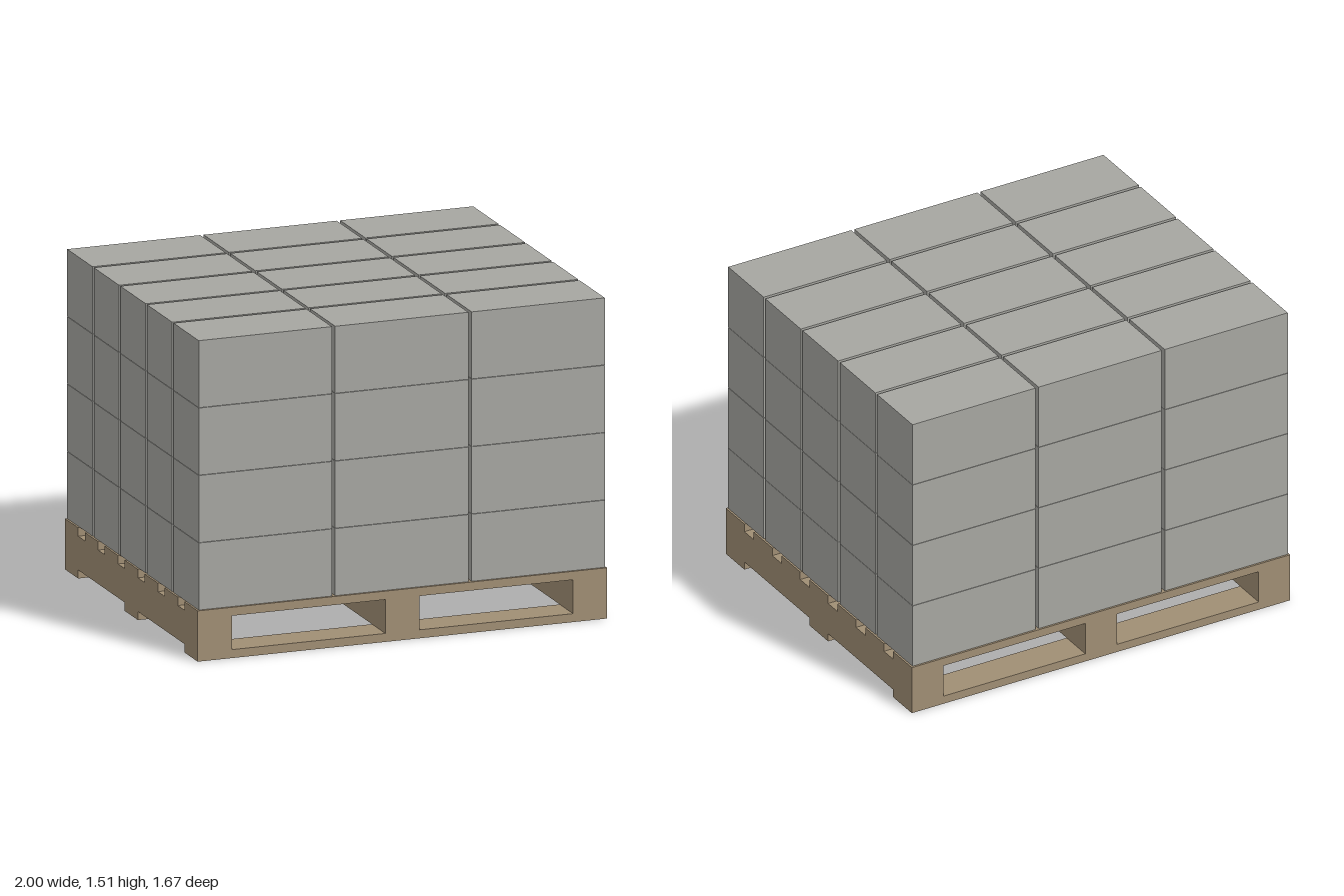
import * as THREE from 'three';

export function createModel() {
  const model = new THREE.Group();
  const wood = new THREE.MeshStandardMaterial({ color: 0xa08e74 });
  wood.name = 'wood';
  const concrete = new THREE.MeshStandardMaterial({ color: 0xa6a6a1 });
  concrete.name = 'concrete';

  // Adds a box whose underside rests at height y
  function addBox(parent, name, material, [w, h, d], [x, y, z]) {
    const mesh = new THREE.Mesh(new THREE.BoxGeometry(w, h, d), material);
    mesh.name = name;
    mesh.position.set(x, y + h / 2, z);
    parent.add(mesh);
  }

  const board = 1 / 6; // board and stringer width
  const thick = 0.04;
  const deckTop = 0.24;

  // Pallet: bottom boards, stringers and deck boards
  const pallet = new THREE.Group();
  pallet.name = 'pallet';
  model.add(pallet);
  for (const z of [-0.75, 0, 0.75]) {
    addBox(pallet, 'bottomBoard', wood, [2, thick, board], [0, 0, z]);
  }
  for (const side of [-1, 0, 1]) {
    addBox(pallet, 'stringer', wood, [board, 0.16, 10 * board], [side * (1 - board / 2), thick, 0]);
  }
  for (let i = -3; i <= 3; i++) {
    addBox(pallet, 'deckBoard', wood, [2, thick, board], [0, 0.2, i * 0.25]);
  }

  // Load: 3 x 5 stacks of four blocks with narrow gaps between them
  const blocks = new THREE.Group();
  blocks.name = 'blockStack';
  model.add(blocks);
  const pitchY = 0.319;
  for (let layer = 0; layer < 4; layer++) {
    for (let col = -1; col <= 1; col++) {
      for (let row = -2; row <= 2; row++) {
        addBox(blocks, 'block', concrete, [0.65, 0.317, 0.317],
          [col * 2 / 3, deckTop + 0.001 + layer * pitchY, row / 3]);
      }
    }
  }
  return model;
}
